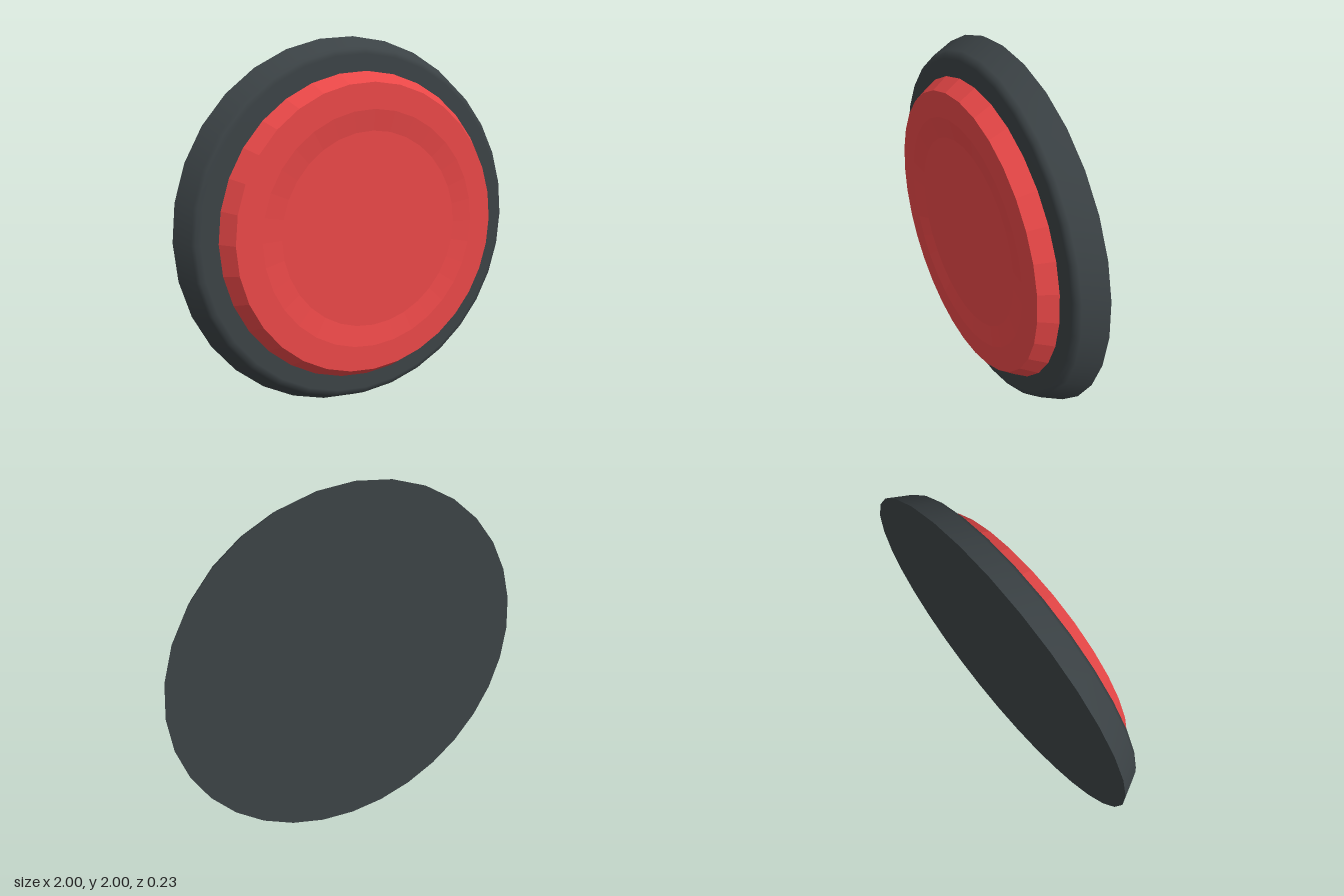
import * as THREE from 'three';

const SIDES = 32;

// Revolve [radius, depth] pairs around the z axis
function turned(name, profile, material) {
  const points = profile.map(([r, z]) => new THREE.Vector2(r, z));
  const geometry = new THREE.LatheGeometry(points, SIDES);
  geometry.rotateX(Math.PI / 2);
  const mesh = new THREE.Mesh(geometry, material);
  mesh.name = name;
  return mesh;
}

export function createModel() {
  const model = new THREE.Group();
  model.name = 'roundButton';
  const dark = new THREE.MeshStandardMaterial({ color: 0x3b4245 });
  const red = new THREE.MeshStandardMaterial({ color: 0xe84747, flatShading: true });

  const button = new THREE.Group();
  button.name = 'button';
  button.position.y = 1;
  model.add(button);

  // Base: sloped rim with a softly rounded front edge
  button.add(turned('baseRim', [
    [1, -0.115], [0.945, 0.0], [0.93, 0.018], [0.905, 0.025], [0, 0.025],
  ], dark));

  // Flat back of the base, with a sharp edge
  const back = new THREE.Mesh(new THREE.CircleGeometry(1, SIDES), dark);
  back.name = 'baseBack';
  back.rotation.y = Math.PI;
  back.position.z = -0.115;
  button.add(back);

  // Cap: bevelled disc with a shallow dished centre
  button.add(turned('cap', [
    [0, 0.031], [0.82, 0.031], [0.765, 0.115], [0.63, 0.115], [0.52, 0.097], [0, 0.097],
  ], red));

  return model;
}
